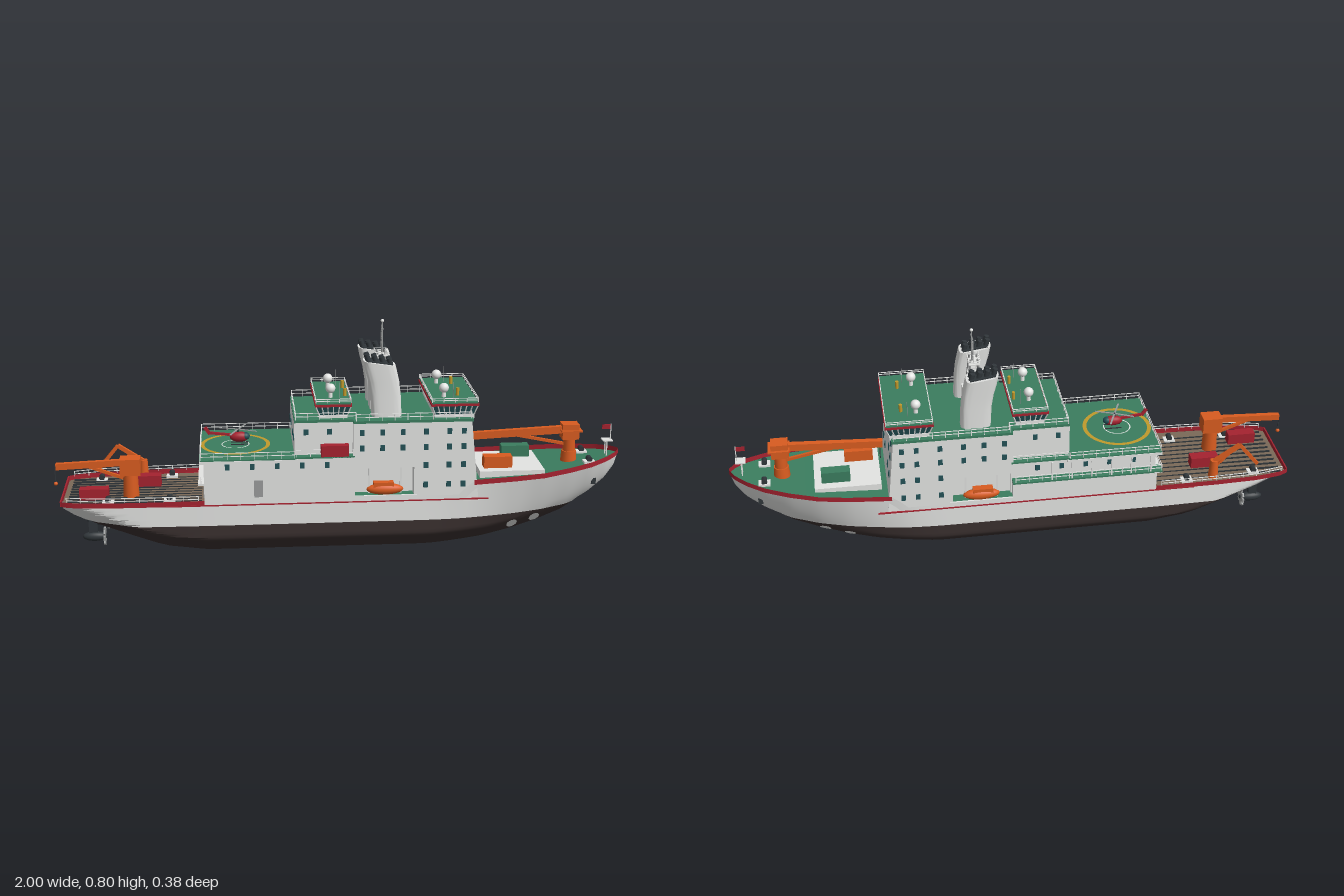
import * as THREE from 'three';
import { toCreasedNormals } from 'three/addons/utils/BufferGeometryUtils.js';

const mat = (name, color, side = THREE.FrontSide) => new THREE.MeshStandardMaterial({ name, color, side });
const V = (x, y, z) => new THREE.Vector3(x, y, z);

export function createModel() {
  const white = mat('white paint', 0xe4e5e3), dark = mat('dark bottom paint', 0x3a302f), red = mat('red paint', 0xa5222f, THREE.DoubleSide);
  const green = mat('deck green', 0x3b7d5f), orange = mat('orange paint', 0xd95c20), wood = mat('deck brown', 0x7b6a58);
  const black = mat('dark grey metal', 0x30363a), yellow = mat('yellow marking', 0xc09a2c), glass = mat('window teal', 0x235156), grey = mat('grey metal', 0x9a9c9c);
  const root = new THREE.Group();
  root.name = 'ship';
  let cur = root;
  const part = (name) => { cur = new THREE.Group(); cur.name = name; root.add(cur); return cur; };
  const add = (geo, m, name, x = 0, y = 0, z = 0) => {
    const o = new THREE.Mesh(geo, m);
    o.name = name; o.position.set(x, y, z); cur.add(o); return o;
  };
  const box = (name, m, x0, x1, y0, y1, z0, z1) =>
    add(new THREE.BoxGeometry(x1 - x0, y1 - y0, z1 - z0), m, name, (x0 + x1) / 2, (y0 + y1) / 2, (z0 + z1) / 2);
  const cyl = (name, m, r0, r1, x, y0, y1, z, n = 16) => add(new THREE.CylinderGeometry(r1, r0, y1 - y0, n), m, name, x, (y0 + y1) / 2, z);
  const ball = (name, m, r, x, y, z) => add(new THREE.SphereGeometry(r, 20, 14), m, name, x, y, z);
  const beam = (name, m, p, q, w, h = w) => {
    const a = V(...p), b = V(...q), o = add(new THREE.BoxGeometry(w, h, a.distanceTo(b)), m, name);
    o.position.copy(a).add(b).multiplyScalar(0.5); o.lookAt(b); return o;
  };
  // surface through rows of points
  const grid = (rows) => {
    const n = rows[0].length, idx = [];
    for (let i = 0; i < rows.length - 1; i++) for (let j = 0; j < n - 1; j++) {
      const a = i * n + j;
      idx.push(a, a + 1, a + n, a + 1, a + n + 1, a + n);
    }
    const g = new THREE.BufferGeometry().setFromPoints(rows.flat());
    g.setIndex(idx); g.computeVertexNormals(); return g;
  };
  const lerpTable = (t) => (x) => {
    let i = 0;
    while (i < t.length - 2 && x > t[i + 1][0]) i++;
    const k = THREE.MathUtils.clamp((x - t[i][0]) / (t[i + 1][0] - t[i][0]), 0, 1);
    return t[i][1] + k * (t[i + 1][1] - t[i][1]);
  };
  const rail = (pts, h = 0.024) => {
    for (let i = 0; i < pts.length - 1; i++) {
      const a = V(...pts[i]), b = V(...pts[i + 1]), n = Math.max(1, Math.round(a.distanceTo(b) / 0.045));
      for (const f of [0.5, 1]) beam('railBar', white, [a.x, a.y + h * f, a.z], [b.x, b.y + h * f, b.z], 0.0022);
      for (let k = 0; k <= n; k++) {
        const p = a.clone().lerp(b, k / n);
        box('railPost', white, p.x - 0.0011, p.x + 0.0011, p.y, p.y + h, p.z - 0.0011, p.z + 0.0011);
      }
    }
  };

  // hull: keel height, sheer height and half breadth along the length
  const keel = lerpTable([[-0.97, 0.17], [-0.95, 0.158], [-0.9, 0.135], [-0.74, 0.075], [-0.62, 0.032], [-0.47, 0.013], [0.3, 0.012], [0.5, 0.023], [0.6, 0.037], [0.7, 0.06], [0.79, 0.09], [0.89, 0.15], [0.95, 0.2], [0.985, 0.25], [1, 0.3]]);
  const sheer = lerpTable([[-0.97, 0.207], [-0.48, 0.212], [0.4, 0.215], [0.44, 0.262], [0.7, 0.274], [0.88, 0.292], [1, 0.308]]);
  const beamAt = lerpTable([[-0.97, 0.137], [-0.94, 0.153], [-0.85, 0.168], [-0.7, 0.176], [-0.5, 0.18], [0.45, 0.18], [0.6, 0.174], [0.7, 0.162], [0.8, 0.138], [0.88, 0.108], [0.94, 0.072], [0.98, 0.036], [1, 0.002]]);
  const half = (x, y) => {
    const d = Math.max(0, y - keel(x)), s = THREE.MathUtils.smoothstep(x, 0.25, 0.92);
    const mid = Math.min(1, 0.62 + 0.38 * d / 0.06), bow = Math.pow(Math.min(1, d / (sheer(x) - keel(x))), 0.55);
    return beamAt(x) * (mid * (1 - s) + bow * s);
  };
  const stations = (x0, x1, n) => Array.from({ length: n + 1 }, (_, i) => x0 + (x1 - x0) * Math.sin(i / n * Math.PI / 2));
  const shell = (xs, lo, hi, n) => toCreasedNormals(grid(xs.map((x) => {
    const side = (s) => Array.from({ length: n + 1 }, (_, j) => {
      const y = lo(x) + (hi(x) - lo(x)) * j / n;
      return V(x, y, s * half(x, y));
    });
    return [...side(1).reverse(), ...side(-1)];
  })), 0.6);
  const WL = 0.125;
  part('hull');
  add(shell(stations(-0.97, 1, 80), (x) => Math.max(keel(x), WL), sheer, 10), white, 'upperHull');
  add(shell(stations(-0.873, 0.848, 60), keel, (x) => Math.max(keel(x), WL), 10), dark, 'lowerHull');
  add(grid([0.17, 0.18, 0.19, 0.207].map((y) => [V(-0.97, y, -half(-0.97, y)), V(-0.97, y, half(-0.97, y))])), white, 'transom');
  box('keelBar', dark, -0.5, 0.3, 0, 0.02, -0.015, 0.015);
  const deck = (x0, x1, m, name) => add(grid(stations(x0, x1, 30).map((x) => [V(x, sheer(x) - 0.012, -beamAt(x)), V(x, sheer(x) - 0.012, beamAt(x))])), m, name);
  deck(-0.97, -0.47, wood, 'aftDeck');
  deck(0.44, 1, green, 'foreDeck');
  for (const s of [1, -1]) {
    for (const [x0, x1] of [[-0.97, -0.48], [0.45, 1]])
      add(grid(stations(x0, x1, 30).map((x) => [-0.013, 0.005].map((d) => V(x, sheer(x) + d, s * (beamAt(x) + 0.002))))), red, 'bulwarkStripe');
    box('rubbingStrake', red, -0.62, 0.5, 0.197, 0.201, s * 0.18 - 0.003, s * 0.18 + 0.003);
    // bow thruster openings and anchors lie on the hull skin
    for (const [cx, cy] of [[0.6, 0.077], [0.685, 0.09]]) {
      const rows = [0, 0.01, 0.02].map((r) => Array.from({ length: 21 }, (_, k) => {
        const a = -s * k / 20 * Math.PI * 2, x = cx + r * Math.cos(a), y = cy + r * Math.sin(a);
        return V(x, y, s * (half(x, y) + 0.003));
      }));
      add(grid(rows), white, 'thrusterOpening');
    }
    const az = s * half(0.9, 0.21);
    box('anchor', black, 0.892, 0.908, 0.2, 0.222, az - 0.008, az + 0.008);
  }
  box('sternStripe', red, -0.973, -0.968, 0.194, 0.212, -0.137, 0.137);
  for (let i = -5; i <= 5; i++) box('deckTrack', black, -0.95, -0.49, 0.194, 0.202, i * 0.026 - 0.0015, i * 0.026 + 0.0015);

  // steerable propulsion pods
  for (const s of [1, -1]) {
    part('propulsionPod');
    box('podStrut', black, -0.885, -0.855, 0.06, 0.15, s * 0.08 - 0.007, s * 0.08 + 0.007);
    ball('podBody', black, 0.017, -0.865, 0.062, s * 0.08).scale.set(2.5, 1, 1);
    for (let k = 0; k < 4; k++) {
      const b = box('propellerBlade', grey, -0.834, -0.828, 0.03, 0.094, s * 0.08 - 0.007, s * 0.08 + 0.007);
      b.rotation.x = k * Math.PI / 4;
    }
  }

  // superstructure
  part('superstructure');
  box('aftHouse', white, -0.48, -0.17, 0.19, 0.35, -0.148, 0.179);
  box('sideGalleryBase', white, -0.48, 0.03, 0.19, 0.272, -0.179, -0.14);
  box('sideGalleryDeck', green, -0.5, 0.03, 0.272, 0.278, -0.18, -0.14);
  box('sternGallery', white, -0.5, -0.47, 0.27, 0.277, -0.18, 0.179);
  box('helideckSlab', white, -0.495, -0.16, 0.346, 0.356, -0.181, 0.181);
  box('helideck', green, -0.493, -0.165, 0.355, 0.36, -0.179, 0.179);
  for (let x = -0.46; x < -0.1; x += 0.07) box('galleryPillar', white, x, x + 0.005, 0.275, 0.35, -0.179, -0.174);
  box('midHouse', white, -0.17, 0.035, 0.19, 0.36, -0.148, 0.179);
  box('midHouseDeck', green, -0.17, 0.035, 0.358, 0.364, -0.179, 0.179);
  box('upperMidHouse', white, -0.17, 0.04, 0.36, 0.48, -0.152, 0.152);
  box('boatDeckCore', white, 0.03, 0.25, 0.2, 0.33, -0.135, 0.135);
  box('boatDeckFloor', green, 0.03, 0.25, 0.2, 0.218, -0.178, 0.178);
  box('boatDeckOverhead', white, 0.03, 0.25, 0.318, 0.48, -0.177, 0.177);
  const prof = new THREE.Shape([[0.24, 0.19], [0.466, 0.19], [0.437, 0.48], [0.24, 0.48]].map((p) => new THREE.Vector2(...p)));
  add(new THREE.ExtrudeGeometry(prof, { depth: 0.354, bevelEnabled: false }), white, 'foreHouse', 0, 0, -0.177);
  box('topDeckAft', green, -0.17, 0.04, 0.478, 0.487, -0.154, 0.154);
  box('topDeckFore', green, 0.03, 0.442, 0.478, 0.487, -0.179, 0.179);
  // windows and doors
  const win = (x, y, z) => box('window', glass, x - 0.008, x + 0.008, y - 0.01, y + 0.01, z - 0.003, z + 0.003);
  for (const s of [1, -1]) {
    for (const x of [0.06, 0.13, 0.2, 0.28, 0.36, 0.41]) for (const y of [0.255, 0.325, 0.39, 0.445])
      if (x > 0.25 || y > 0.33) win(x, y, s * 0.1775);
    for (const x of [-0.13, -0.05]) win(x, 0.445, s * 0.1525);
  }
  for (let x = -0.4; x < -0.05; x += 0.085) { win(x, 0.335, 0.1795); win(x, 0.315, -0.1485); }
  box('sideDoor', grey, -0.31, -0.28, 0.225, 0.285, 0.176, 0.181);
  for (const z of [-0.125, -0.062, 0.062, 0.125]) {
    for (const y of [0.325, 0.395, 0.45]) {
      const w = box('frontWindow', glass, -0.003, 0.003, -0.01, 0.01, z - 0.009, z + 0.009);
      w.position.set(0.466 - 0.1 * (y - 0.19), y, z); w.rotation.z = 0.1;
    }
    box('aftWindow', glass, -0.173, -0.168, 0.41, 0.43, z - 0.009, z + 0.009);
    box('hangarDoor', grey, -0.483, -0.478, 0.215, 0.255, z - 0.02, z + 0.02);
  }

  // wheelhouses: outward-leaning window band, red eave and green roof
  const wheelhouse = (name, x0, x1, hz) => {
    part(name);
    const cx = (x0 + x1) / 2, hx = (x1 - x0) / 2, f = 0.011;
    box('base', white, x0 + f, x1 - f, 0.48, 0.5, -hz + f, hz - f);
    const g = new THREE.BoxGeometry(2 * hx, 0.032, 2 * hz), p = g.attributes.position;
    for (let i = 0; i < p.count; i++) if (p.getY(i) < 0) p.setXYZ(i, p.getX(i) * (hx - f) / hx, p.getY(i), p.getZ(i) * (hz - f) / hz);
    g.computeVertexNormals();
    add(g, glass, 'windowBand', cx, 0.515, 0);
    box('eave', red, x0 - 0.003, x1 + 0.003, 0.53, 0.538, -hz - 0.003, hz + 0.003);
    box('roof', green, x0, x1, 0.536, 0.543, -hz, hz);
    const nz = Math.round(2 * hz / 0.02), nx = Math.round(2 * hx / 0.02);
    for (const s of [1, -1]) {
      for (let i = 0; i <= nz; i++) { const z = -1 + 2 * i / nz; beam('mullion', white, [cx + s * (hx - f), 0.499, z * (hz - f)], [cx + s * hx, 0.531, z * hz], 0.0035); }
      for (let i = 0; i <= nx; i++) { const x = -1 + 2 * i / nx; beam('mullion', white, [cx + x * (hx - f), 0.499, s * (hz - f)], [cx + x * hx, 0.531, s * hz], 0.0035); }
    }
    rail([[x0, 0.543, -hz], [x1, 0.543, -hz], [x1, 0.543, hz], [x0, 0.543, hz], [x0, 0.543, -hz]], 0.014);
  };
  wheelhouse('bridge', 0.3, 0.458, 0.167);
  wheelhouse('aftBridge', -0.095, 0.025, 0.145);
  part('radarDomes');
  for (const s of [1, -1]) for (const [x, z] of [[0.35, 0.092], [-0.04, 0.068]]) {
    cyl('domeStand', white, 0.008, 0.006, x, 0.54, 0.565, s * z);
    ball('dome', white, 0.017, x, 0.575, s * z);
    cyl('whipAerial', grey, 0.001, 0.001, x + 0.03, 0.54, 0.6, s * (z + 0.02), 6);
    cyl('signalLamp', yellow, 0.006, 0.006, x + 0.05, 0.54, 0.57, s * (z - 0.015));
  }

  // twin funnels
  for (const s of [1, -1]) {
    part('funnel');
    const rows = [[0.48, 0.15, 0.052, 0.032], [0.56, 0.146, 0.052, 0.033], [0.61, 0.139, 0.053, 0.035], [0.65, 0.129, 0.054, 0.037], [0.674, 0.124, 0.055, 0.038], [0.674, 0.124, 0.001, 0.001]]
      .map(([y, cx, a, b]) => Array.from({ length: 33 }, (_, k) => {
        const t = -k / 32 * Math.PI * 2, c = Math.cos(t), n = Math.sin(t), e = (v) => Math.sign(v) * Math.sqrt(Math.abs(v));
        return V(cx + a * e(c), y + (y > 0.67 ? -0.15 * a * e(c) : 0), s * 0.102 + b * e(n));
      }));
    add(toCreasedNormals(grid(rows), 0.7), white, 'casing');
    box('topGrille', black, 0.08, 0.168, 0.668, 0.678, s * 0.102 - 0.028, s * 0.102 + 0.028).rotation.z = -0.15;
    for (let i = 0; i < 4; i++) for (const d of [-0.012, 0.012])
      cyl('exhaustPipe', black, 0.009, 0.009, 0.085 + i * 0.025, 0.66, 0.705 - i * 0.005, s * 0.102 + d, 12).rotation.z = 0.25;
  }

  // lattice mast
  part('mast');
  box('mastHouse', white, 0.1, 0.18, 0.48, 0.57, -0.033, 0.033);
  for (const sx of [1, -1]) for (const sz of [1, -1]) beam('mastLeg', grey, [0.14 + sx * 0.025, 0.56, sz * 0.032], [0.14 + sx * 0.012, 0.69, sz * 0.017], 0.005);
  for (const [y, w] of [[0.62, 0.034], [0.678, 0.034]]) {
    box('mastPlatform', white, 0.14 - 0.02, 0.16, y - 0.003, y, -w, w);
    rail([[0.12, y, -w], [0.16, y, -w], [0.16, y, w], [0.12, y, w], [0.12, y, -w]], 0.012);
  }
  cyl('mastPole', grey, 0.004, 0.002, 0.145, 0.67, 0.795, 0, 8);
  ball('mastTopBall', white, 0.006, 0.145, 0.794, 0);
  beam('yard', grey, [0.145, 0.768, -0.02], [0.145, 0.768, 0.02], 0.004);
  for (const y of [0.7, 0.73, 0.757]) { beam('aerialArm', grey, [0.145, y, 0], [0.145, y, -0.037], 0.002); beam('aerial', grey, [0.145, y - 0.01, -0.037], [0.145, y + 0.015, -0.037], 0.0025); }

  // lifeboats
  for (const s of [1, -1]) {
    part('lifeboat');
    ball('boatHull', orange, 0.02, 0.14, 0.24, s * 0.17).scale.set(3.2, 1, 1);
    box('boatCabin', orange, 0.1, 0.17, 0.245, 0.266, s * 0.17 - 0.013, s * 0.17 + 0.013);
    for (const x of [0.085, 0.195]) beam('davit', white, [x, 0.32, s * 0.17], [x, 0.225, s * 0.165], 0.006);
    box('recessEdge', white, 0.03, 0.25, 0.214, 0.22, s * 0.178 - 0.003, s * 0.178 + 0.003);
  }

  // helipad and helicopter
  part('helipad');
  const ring = (m, r0, r1, y) => { add(new THREE.RingGeometry(r0, r1, 48), m, 'landingCircle', -0.37, y, 0).rotation.x = -Math.PI / 2; };
  ring(yellow, 0.108, 0.122, 0.3612);
  ring(white, 0.045, 0.049, 0.3612);
  part('helicopter');
  ball('cabin', red, 0.018, -0.355, 0.388, 0).scale.set(1.9, 1, 0.95);
  ball('windscreen', glass, 0.0135, -0.335, 0.39, 0).scale.set(1.2, 1, 1.08);
  beam('tailBoom', red, [-0.37, 0.394, 0], [-0.465, 0.405, 0], 0.008);
  beam('tailFin', red, [-0.458, 0.4, 0], [-0.475, 0.425, 0], 0.004, 0.012);
  cyl('rotorHub', black, 0.004, 0.004, -0.36, 0.4, 0.417, 0, 8);
  for (let k = 0; k < 4; k++) { const a = 0.4 + k * Math.PI / 2; beam('rotorBlade', grey, [-0.36, 0.416, 0], [-0.36 + 0.07 * Math.cos(a), 0.414, 0.07 * Math.sin(a)], 0.006, 0.002); }
  for (const s of [1, -1]) beam('skid', black, [-0.385, 0.364, s * 0.014], [-0.325, 0.364, s * 0.014], 0.003);

  // cargo
  part('cargo');
  box('hatchCover', white, 0.48, 0.71, 0.245, 0.276, -0.112, 0.118);
  box('orangeContainer', orange, 0.5, 0.6, 0.276, 0.317, 0.042, 0.084);
  box('greenContainer', green, 0.585, 0.685, 0.276, 0.317, -0.08, -0.04);
  box('redContainer', red, -0.08, 0.015, 0.364, 0.403, 0.155, 0.184);
  box('redContainer', red, -0.735, -0.635, 0.2, 0.24, -0.07, -0.03);
  box('redContainer', red, -0.91, -0.81, 0.2, 0.24, 0.062, 0.1);
  for (const [x, z] of [[-0.81, 0.125], [-0.6, 0.125], [-0.6, -0.14], [-0.85, -0.12], [0.88, 0.06], [0.88, -0.06]]) {
    const y = sheer(x) - 0.012;
    box('winchBase', white, x - 0.02, x + 0.02, y, y + 0.008, z - 0.016, z + 0.016);
    cyl('winchDrum', black, 0.01, 0.01, x, y + 0.003, y + 0.027, z).rotation.x = Math.PI / 2;
  }

  // cranes
  part('bowCrane');
  cyl('craneFoot', orange, 0.03, 0.026, 0.82, 0.26, 0.31, 0);
  cyl('cranePost', orange, 0.022, 0.022, 0.82, 0.3, 0.37, 0);
  box('craneHead', orange, 0.79, 0.85, 0.355, 0.41, -0.026, 0.026);
  box('cranePlatform', orange, 0.785, 0.86, 0.385, 0.39, -0.036, 0.036);
  beam('boom', orange, [0.8, 0.388, 0], [0.465, 0.372, 0], 0.02, 0.026);
  beam('boomRam', orange, [0.8, 0.335, 0], [0.63, 0.37, 0], 0.01);
  beam('hookLine', black, [0.475, 0.37, 0], [0.475, 0.31, 0], 0.003);
  part('aftCrane');
  cyl('cranePost', orange, 0.028, 0.024, -0.735, 0.195, 0.3, 0.055);
  box('craneHead', orange, -0.77, -0.7, 0.28, 0.338, 0.027, 0.083);
  beam('boom', orange, [-0.75, 0.322, 0.055], [-0.99, 0.312, 0.055], 0.018, 0.022);
  beam('boomRam', orange, [-0.76, 0.265, 0.055], [-0.88, 0.31, 0.055], 0.01);
  beam('hookLine', black, [-0.993, 0.315, 0.055], [-0.993, 0.25, 0.055], 0.003);
  ball('hook', orange, 0.007, -0.993, 0.25, 0.055);
  part('foldingCrane');
  cyl('cranePost', orange, 0.018, 0.014, -0.7, 0.195, 0.27, -0.13);
  beam('lowerArm', orange, [-0.7, 0.265, -0.13], [-0.79, 0.325, -0.13], 0.014);
  beam('upperArm', orange, [-0.79, 0.325, -0.13], [-0.86, 0.24, -0.13], 0.012);
  beam('armRam', orange, [-0.7, 0.235, -0.13], [-0.76, 0.3, -0.13], 0.007);

  // bow flagstaff and railings
  part('flagstaff');
  for (const z of [-0.012, 0.012]) beam('staffLeg', white, [0.955, 0.29, z], [0.955, 0.345, z], 0.004);
  box('staffPlatform', white, 0.94, 0.975, 0.343, 0.347, -0.018, 0.018);
  beam('staff', white, [0.97, 0.345, 0], [0.97, 0.405, 0], 0.003);
  box('flag', red, 0.938, 0.97, 0.385, 0.402, -0.001, 0.001);
  part('railings');
  rail([[-0.17, 0.36, -0.177], [-0.49, 0.36, -0.177], [-0.49, 0.36, 0.177], [-0.17, 0.36, 0.177]]);
  rail([[-0.49, 0.277, 0.175], [-0.497, 0.277, -0.177], [0.02, 0.277, -0.177]]);
  for (const s of [1, -1]) {
    rail([[0.435, 0.487, s * 0.165], [0.435, 0.487, s * 0.177], [0.04, 0.487, s * 0.177], [0.04, 0.487, s * 0.152], [-0.165, 0.487, s * 0.152]]);
    rail([[-0.165, 0.364, s * 0.177], [0.03, 0.364, s * 0.177]]);
    rail([-0.95, -0.85, -0.7, -0.5].map((x) => [x, sheer(x), s * (beamAt(x) - 0.003)]), 0.02);
  }
  rail([[-0.165, 0.487, -0.152], [-0.165, 0.487, 0.152]]);
  return root;
}
